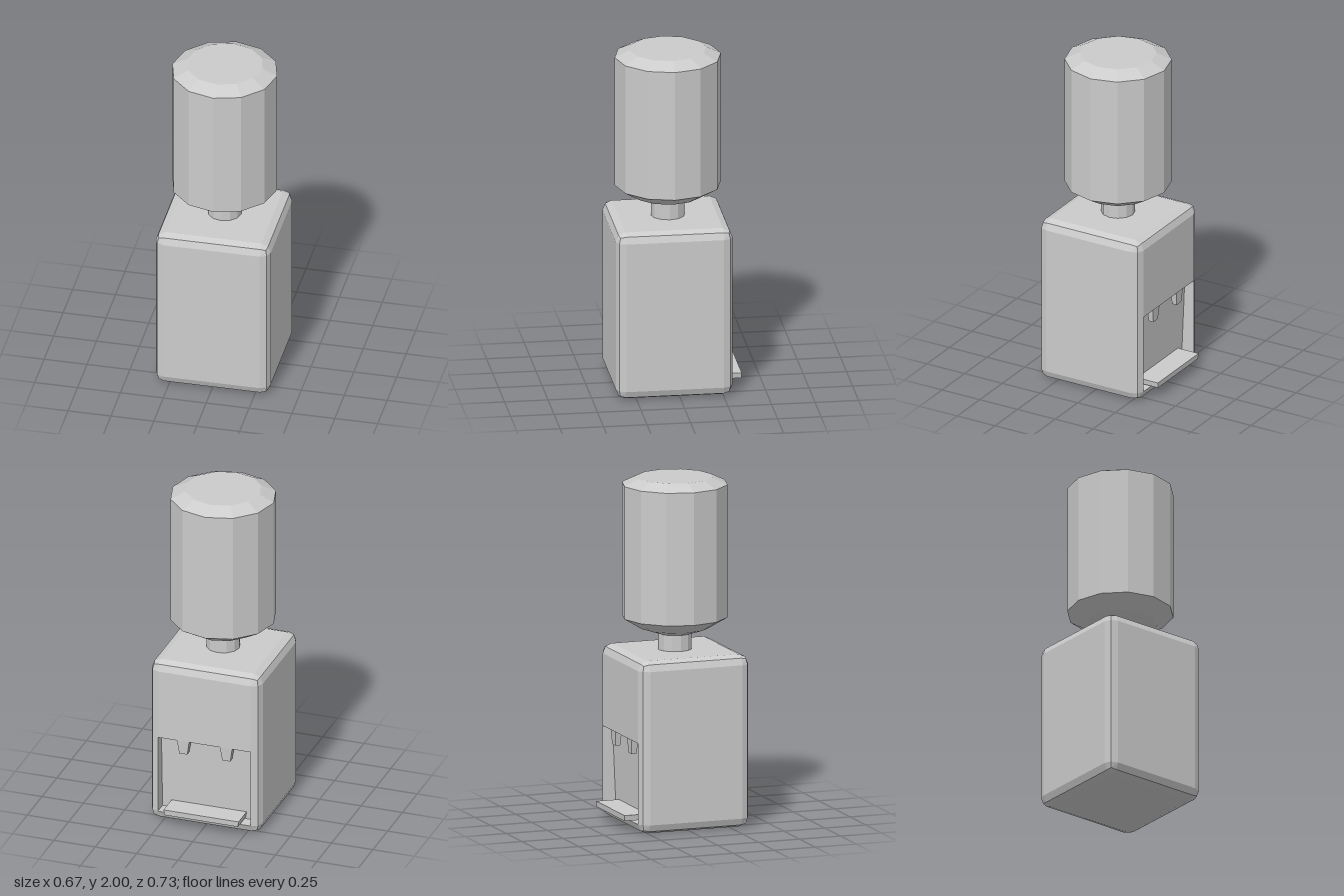
import * as THREE from 'three';
import { RoundedBoxGeometry } from 'three/addons/geometries/RoundedBoxGeometry.js';

const material = new THREE.MeshStandardMaterial({ color: 0xcccccc, flatShading: true, side: THREE.DoubleSide });
const CENTER_Z = 0.03;

function addPart(group, name, geometry, x = 0, y = 0, z = 0) {
  const mesh = new THREE.Mesh(geometry, material);
  mesh.name = name;
  mesh.position.set(x, y, z);
  group.add(mesh);
}

// Box whose bottom face is scaled by sx, sz
function taperedBox(w, h, d, sx, sz) {
  const g = new THREE.BoxGeometry(w, h, d);
  const p = g.attributes.position;
  for (let i = 0; i < p.count; i++) {
    if (p.getY(i) < 0) p.setXYZ(i, p.getX(i) * sx, p.getY(i), p.getZ(i) * sz);
  }
  return g;
}

// Two-step bevelled box with its flat back removed, in model coordinates
function cabinetShell(size, height, bevel) {
  const source = new RoundedBoxGeometry(size, height, size, 1, bevel);
  source.translate(0, height / 2, CENTER_Z);
  const box = source.index ? source.toNonIndexed() : source;
  const p = box.attributes.position;
  const back = CENTER_Z - size / 2 + 1e-4;
  const kept = [];
  for (let i = 0; i < p.count; i += 3) {
    if ([0, 1, 2].every(k => p.getZ(i + k) < back)) continue;
    for (let k = 0; k < 3; k++) kept.push(p.getX(i + k), p.getY(i + k), p.getZ(i + k));
  }
  return fromPositions(kept);
}

function fromPositions(positions) {
  const g = new THREE.BufferGeometry();
  g.setAttribute('position', new THREE.Float32BufferAttribute(positions, 3));
  g.computeVertexNormals();
  return g;
}

// Corners run counter-clockwise seen from the visible side
function quads(list) {
  const out = [];
  for (const [a, b, c, d] of list) for (const v of [a, b, c, a, c, d]) out.push(...v);
  return fromPositions(out);
}

export function createModel() {
  const group = new THREE.Group();
  group.name = 'waterDispenser';

  // Cabinet
  const size = 0.67, bevel = 0.055;
  addPart(group, 'cabinet', cabinetShell(size, 1, bevel));

  // Back panel above the dispensing recess
  const w = size / 2 - bevel, zb = CENTER_Z - size / 2;
  const low = bevel, mid = 0.525, high = 1 - bevel;
  addPart(group, 'upperPanel', quads([
    [[w, mid, zb], [-w, mid, zb], [-w, high, zb], [w, high, zb]],
  ]));

  // Recess, a little deeper at the floor than at the ceiling
  const zt = zb + 0.06, zf = zb + 0.08;
  const outer = [[w, low, zb], [-w, low, zb], [-w, mid, zb], [w, mid, zb]];
  const inner = [[w, low, zf], [-w, low, zf], [-w, mid, zt], [w, mid, zt]];
  const walls = outer.map((o, i) => {
    const j = (i + 1) % 4;
    return [o, outer[j], inner[j], inner[i]];
  });
  addPart(group, 'recess', quads([inner, ...walls]));

  // Drip tray, standing out of the recess
  addPart(group, 'dripTray', taperedBox(0.453, 0.033, 0.137, 0.98, 0.97), -0.003, 0.085, -0.298);

  // Pair of taps under the recess ceiling
  for (const side of [-1, 1]) {
    addPart(group, side > 0 ? 'leftTap' : 'rightTap',
      taperedBox(0.074, 0.085, 0.04, 0.66, 0.75), side * 0.13, mid - 0.0425, -0.28);
  }

  // Upturned bottle with neck, shoulder and bevelled base
  const profile = [
    [0.097, 0.99], [0.097, 1.093], [0.2, 1.127], [0.305, 1.19], [0.305, 1.96], [0.22, 2], [0, 2],
  ].map(([r, y]) => new THREE.Vector2(r, y));
  addPart(group, 'bottle', new THREE.LatheGeometry(profile, 12), 0.004, 0, 0.028);

  return group;
}
